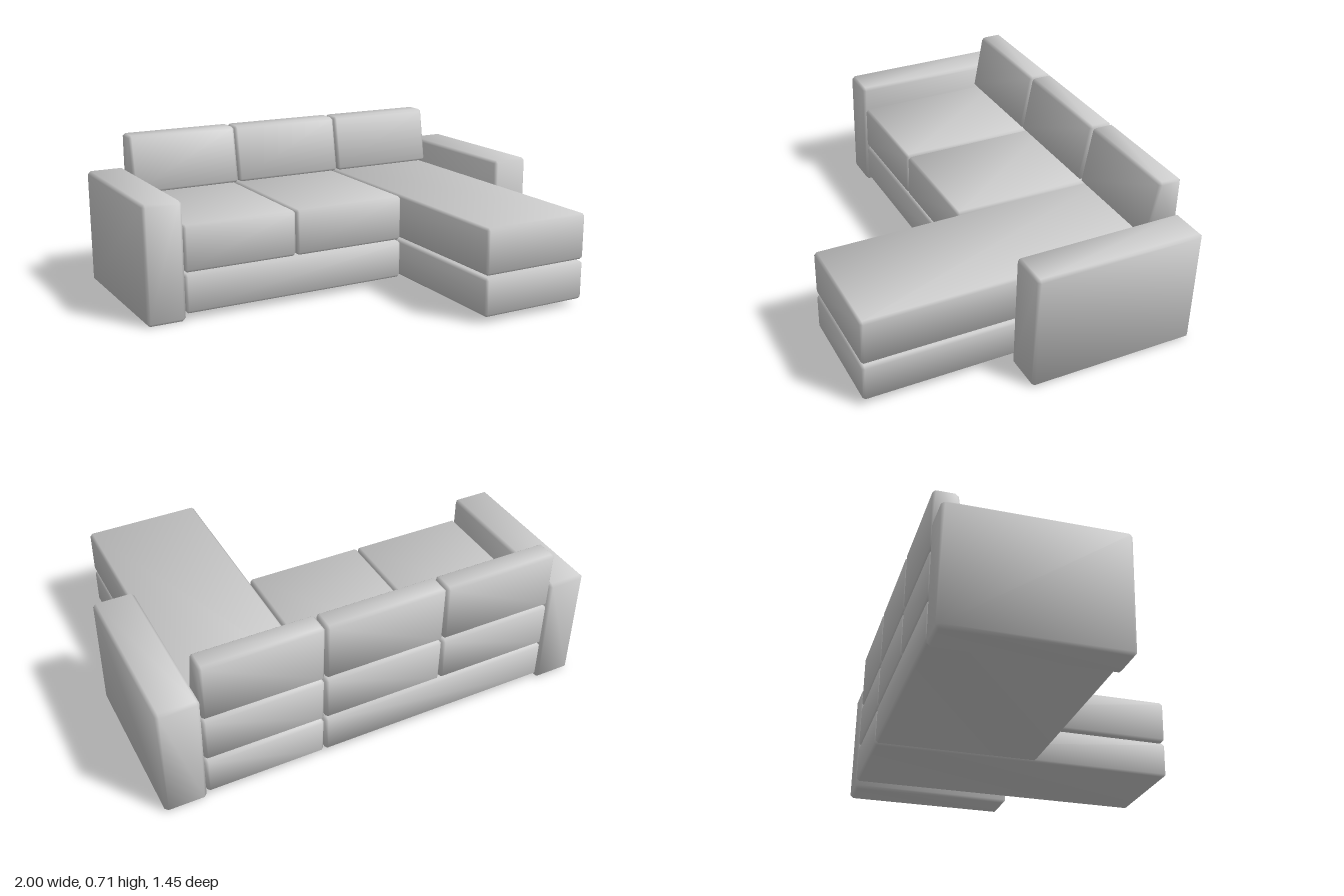
import * as THREE from 'three';

const material = new THREE.MeshStandardMaterial({ color: 0xcccccc });

// Box with narrow chamfers and softly blended normals; lean moves the top front edge back.
function paddedBox([x0, x1], [y0, y1], [z0, z1], bevel = 0.012, lean = 0) {
  const mid = new THREE.Vector3((x0 + x1) / 2, (y0 + y1) / 2, (z0 + z1) / 2);
  const half = [(x1 - x0) / 2, (y1 - y0) / 2, (z1 - z0) / 2];
  const points = [];
  // Three points per corner, one on each adjoining face
  for (let c = 0; c < 8; c++) {
    for (let face = 0; face < 3; face++) {
      const p = half.map((h, i) => (c & (1 << i) ? 1 : -1) * (i === face ? h : h - bevel));
      if (p[2] > 0) p[2] -= lean * (p[1] + half[1]) / (2 * half[1]);
      points.push(new THREE.Vector3(...p));
    }
  }
  const index = [];
  const normals = points.map(() => new THREE.Vector3());
  function tri(a, b, c) {
    const [p, q, r] = [points[a], points[b], points[c]];
    const n = q.clone().sub(p).cross(r.clone().sub(p)).normalize();
    if (n.dot(p) < 0) {
      n.negate();
      [b, c] = [c, b];
    }
    index.push(a, b, c);
    for (const i of [a, b, c]) normals[i].add(n);
  }
  function quad(a, b, c, d) {
    tri(a, b, c);
    tri(a, c, d);
  }
  const id = (corner, face) => corner * 3 + face;
  for (let axis = 0; axis < 3; axis++) {
    const a = 1 << axis, u = (axis + 1) % 3, v = (axis + 2) % 3;
    const bu = 1 << u, bv = 1 << v;
    // Main faces
    for (const s of [0, a]) quad(id(s, axis), id(s | bu, axis), id(s | bu | bv, axis), id(s | bv, axis));
    // Chamfers along this axis
    for (const s of [0, bu, bv, bu | bv]) quad(id(s, u), id(s | a, u), id(s | a, v), id(s, v));
  }
  // Corner triangles
  for (let c = 0; c < 8; c++) tri(id(c, 0), id(c, 1), id(c, 2));

  const geometry = new THREE.BufferGeometry();
  geometry.setAttribute('position', new THREE.Float32BufferAttribute(points.flatMap(p => p.toArray()), 3));
  geometry.setAttribute('normal', new THREE.Float32BufferAttribute(normals.flatMap(n => n.normalize().toArray()), 3));
  geometry.setIndex(index);
  geometry.translate(mid.x, mid.y, mid.z);
  return geometry;
}

export function createModel() {
  const sofa = new THREE.Group();
  sofa.name = 'sectionalSofa';
  const add = (name, geometry) => {
    const mesh = new THREE.Mesh(geometry, material);
    mesh.name = name;
    sofa.add(mesh);
  };
  const back = -0.725, front = 0.045, chaiseFront = 0.72;
  const columns = [[-0.82, -0.284], [-0.279, 0.272], [0.279, 0.813]];

  // Armrests
  add('rightArm', paddedBox([-1, -0.822], [0, 0.54], [back, 0.05], 0.014));
  add('leftArm', paddedBox([0.816, 1], [0, 0.54], [back, 0.05], 0.014));

  // Bases under the two seats and the chaise
  add('seatBase', paddedBox([-0.82, 0.272], [0.03, 0.208], [back, front]));
  add('chaiseBase', paddedBox(columns[2], [0.03, 0.206], [back, chaiseFront]));

  // Seat cushions, the last one extended as a chaise, with back cushions above
  columns.forEach((x, i) => {
    const isChaise = i === 2;
    add(isChaise ? 'chaiseCushion' : 'seatCushion',
      paddedBox(x, [0.216, 0.427], [back, isChaise ? chaiseFront : front]));
    add('backCushion', paddedBox(x, [0.435, 0.706], [back, -0.575], 0.012, 0.045));
  });
  return sofa;
}
